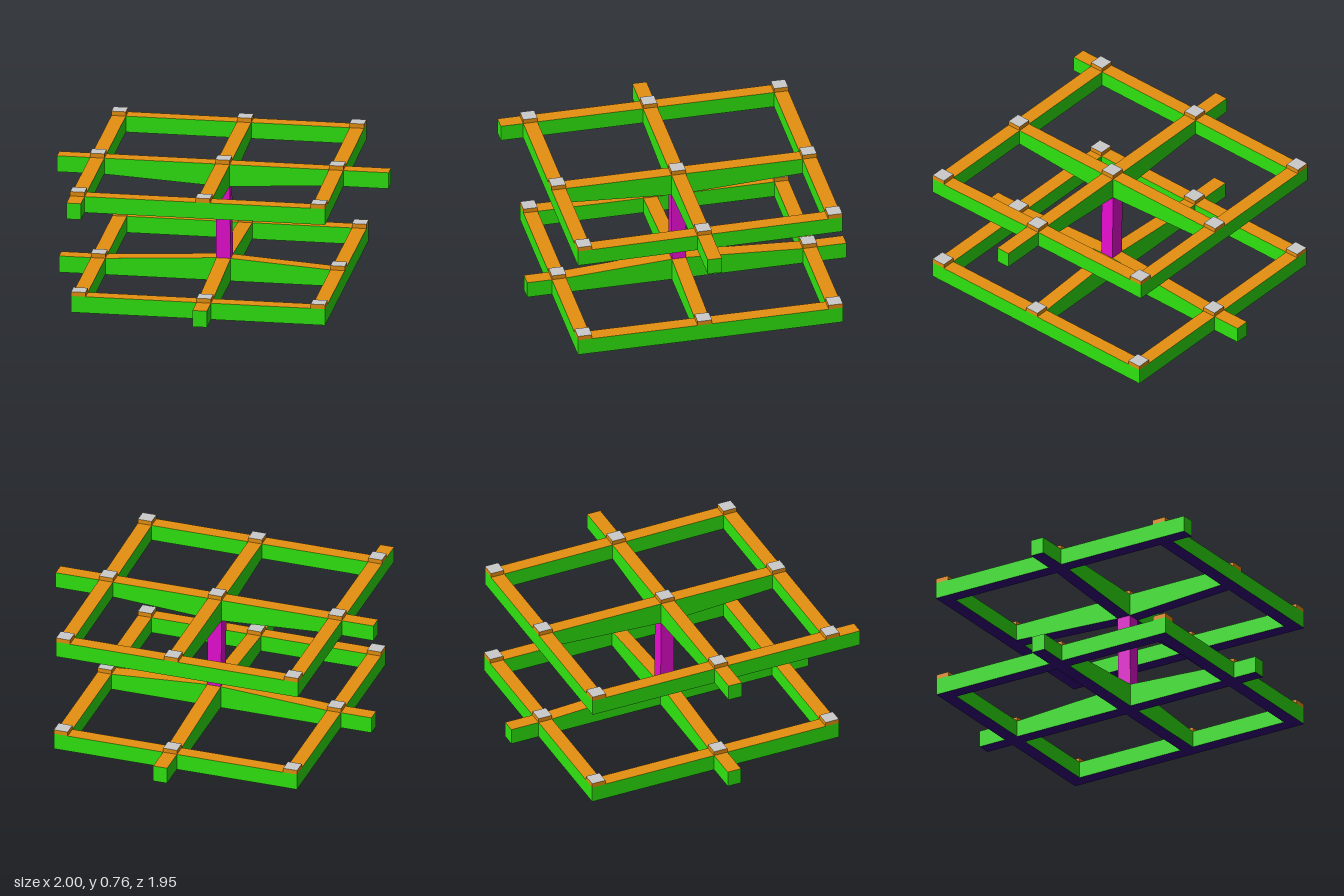
import * as THREE from 'three';

const COLORS = {
  beamSides: 0x2fe610, beamTops: 0xe69010, beamUndersides: 0x330080,
  capSides: 0xe69010, capTops: 0xcccccc, columnSides: 0xe80ed2,
};
const W = 0.0435; // half the beam width

// Collects quads by surface name and turns each set into one flat-shaded mesh
class Faces {
  constructor() { this.sets = {}; }

  quad(name, a, b, c, d) {
    (this.sets[name] ??= []).push(...a, ...b, ...c, ...a, ...c, ...d);
  }

  // Rings run +z-left, +z-right, -z-right, -z-left; sides are 0:+z 1:+x 2:-z 3:-x
  prism(low, high, sides, sideName, topName, bottomName) {
    for (const i of sides) {
      const k = (i + 1) % 4;
      this.quad(sideName, low[i], low[k], high[k], high[i]);
    }
    if (topName) this.quad(topName, ...high);
    if (bottomName) this.quad(bottomName, low[3], low[2], low[1], low[0]);
  }

  build(groupName) {
    const group = new THREE.Group();
    group.name = groupName;
    for (const [name, points] of Object.entries(this.sets)) {
      const geo = new THREE.BufferGeometry();
      geo.setAttribute('position', new THREE.Float32BufferAttribute(points, 3));
      geo.computeVertexNormals();
      const mesh = new THREE.Mesh(geo, new THREE.MeshStandardMaterial({ color: COLORS[name] }));
      mesh.name = name;
      group.add(mesh);
    }
    return group;
  }
}

const ring = (x, z, y) => [[x - W, y, z + W], [x + W, y, z + W], [x + W, y, z - W], [x - W, y, z - W]];
const BEAM = ['beamSides', 'beamTops', 'beamUndersides'];

// A 3 x 3 lattice of crossing beams, thickened towards the middle
function lattice(name, { xs, zs, low, high, midLow, midHigh, stubs }) {
  const faces = new Faces();
  const nodes = xs.map((row, j) => row.map((x, i) => {
    const mid = i === 1 && j === 1;
    return { x, z: zs[j], low: ring(x, zs[j], mid ? midLow : low), high: ring(x, zs[j], mid ? midHigh : high) };
  }));

  for (let j = 0; j < 3; j++) for (let i = 0; i < 3; i++) {
    const a = nodes[j][i], mid = i === 1 && j === 1;
    const stub = stubs.find(s => s.i === i && s.j === j);

    // Crossing: walls only where no beam continues
    const open = [j === 2, i === 2, j === 0, i === 0];
    if (stub) open[stub.side] = false;
    const walls = [0, 1, 2, 3].filter(s => open[s]);
    const columnBelow = mid && midLow !== low, columnAbove = mid && midHigh !== high;
    faces.prism(a.low, a.high, walls, 'beamSides', null, columnBelow ? null : 'beamUndersides');

    // Raised cap on the crossing
    if (!columnAbove) {
      faces.prism(a.high, a.high.map(([x, y, z]) => [x, y + 0.027, z]), [0, 1, 2, 3], 'capSides', 'capTops');
    }

    // Beam spans to the next crossing in x and in z
    if (i < 2) {
      const b = nodes[j][i + 1];
      const span = k => [a[k][1], b[k][0], b[k][3], a[k][2]];
      faces.prism(span('low'), span('high'), [0, 2], ...BEAM);
    }
    if (j < 2) {
      const b = nodes[j + 1][i];
      const span = k => [b[k][3], b[k][2], a[k][1], a[k][0]];
      faces.prism(span('low'), span('high'), [1, 3], ...BEAM);
    }

    // Beam end sticking out past the frame
    if (stub) {
      const axis = stub.side % 2 ? 0 : 2, s = stub.side, n = (s + 1) % 4;
      const extend = r => {
        const out = r.map(p => [...p]);
        const inner = r[s][axis];
        for (let k = 0; k < 4; k++) out[k][axis] = k === s || k === n ? stub.to : inner;
        return out;
      };
      faces.prism(extend(a.low), extend(a.high), [0, 1, 2, 3].filter(k => k !== (s + 2) % 4), ...BEAM);
    }
  }
  return faces.build(name);
}

export function createModel() {
  const model = new THREE.Group();
  model.name = 'twoTierFrame';
  const zs = [-0.752, 0.048, 0.78];

  model.add(lattice('lowerLattice', {
    xs: [0, 1, 2].map(() => [-0.752, 0.004, 0.692]), zs,
    low: 0, high: 0.102, midLow: 0, midHigh: 0.142,
    stubs: [
      { i: 0, j: 1, side: 3, to: -0.988 },
      { i: 1, j: 0, side: 2, to: -0.975 },
      { i: 1, j: 2, side: 0, to: 0.975 },
    ],
  }));

  // The right-hand upper beam runs slightly askew
  model.add(lattice('upperLattice', {
    xs: [0.678, 0.683, 0.692].map(x => [-0.758, -0.002, x]), zs,
    low: 0.63, high: 0.73, midLow: 0.592, midHigh: 0.73,
    stubs: [
      { i: 0, j: 1, side: 3, to: -1 },
      { i: 2, j: 1, side: 1, to: 1 },
      { i: 0, j: 2, side: 0, to: 0.96 },
    ],
  }));

  // Central column joining the lattices
  const column = new Faces();
  column.prism(ring(0.004, 0.048, 0.142), ring(-0.002, 0.048, 0.592), [0, 1, 2, 3], 'columnSides');
  model.add(column.build('column'));
  return model;
}
